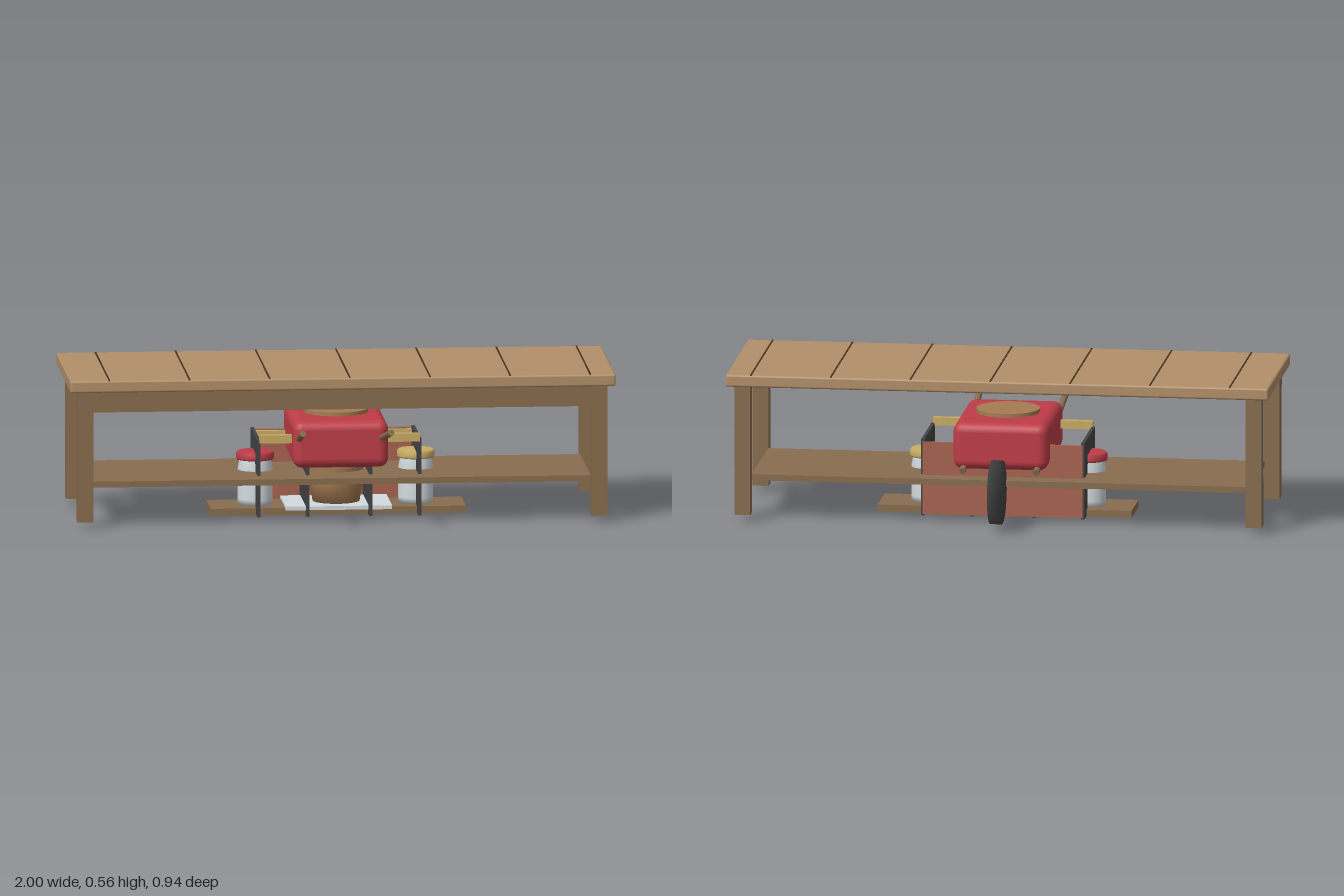
import * as THREE from 'three';
import { mergeVertices } from 'three/addons/utils/BufferGeometryUtils.js';
import { RoundedBoxGeometry } from 'three/addons/geometries/RoundedBoxGeometry.js';

function material(name, color) {
  const m = new THREE.MeshStandardMaterial({ color });
  m.name = name;
  return m;
}

export function createModel() {
  const root = new THREE.Group();
  root.name = 'pottingTable';
  const lightWood = material('light wood', 0xb18f69);
  const darkWood = material('dark wood', 0x886c4e);
  const seamBrown = material('seam brown', 0x45331f);
  const red = material('red', 0xbe3c48);
  const charcoal = material('charcoal', 0x444444);
  const terracotta = material('terracotta', 0xa8634f);
  const straw = material('straw', 0xc9ac64);
  const paleGrey = material('pale grey', 0xd3dbe0);
  const tan = material('tan', 0xa67c52);

  const CZ = -0.03; // shared centre line of the furniture

  function add(name, geometry, mat, x = 0, y = 0, z = 0) {
    const mesh = new THREE.Mesh(geometry, mat);
    mesh.name = name;
    mesh.position.set(x, y, z);
    root.add(mesh);
    return mesh;
  }
  // Box given by its minimum and maximum along each axis
  function box(name, mat, x0, x1, y0, y1, z0, z1, round = 0) {
    const size = [x1 - x0, y1 - y0, z1 - z0];
    const geometry = round
      ? new RoundedBoxGeometry(...size, 3, round)
      : new THREE.BoxGeometry(...size);
    return add(name, geometry, mat, (x0 + x1) / 2, (y0 + y1) / 2, (z0 + z1) / 2);
  }
  function rod(name, mat, from, to, radius) {
    const a = new THREE.Vector3(...from), b = new THREE.Vector3(...to);
    const dir = b.clone().sub(a);
    const mesh = add(name, new THREE.CylinderGeometry(radius, radius, dir.length(), 10), mat);
    mesh.position.copy(a).add(b).multiplyScalar(0.5);
    mesh.quaternion.setFromUnitVectors(new THREE.Vector3(0, 1, 0), dir.normalize());
    return mesh;
  }
  function lathe(name, mat, profile, x, z) {
    const points = profile.map(([r, y]) => new THREE.Vector2(r, y));
    return add(name, new THREE.LatheGeometry(points, 24), mat, x, 0, z);
  }

  // Table top with plank seams
  box('tableTop', lightWood, -1, 1, 0.509, 0.554, -0.355, 0.292, 0.008);
  for (let i = 0; i < 7; i++) {
    const x = -0.857 + i * 0.294;
    box('plankSeam', seamBrown, x - 0.003, x + 0.003, 0.55, 0.5555, -0.352, 0.289);
  }

  // Legs, front apron and lower shelf
  for (const x of [-0.942, 0.942]) {
    for (const z of [-0.295, 0.235]) {
      box('leg', darkWood, x - 0.029, x + 0.029, 0.026, 0.51, z - 0.029, z + 0.029);
    }
  }
  box('frontApron', darkWood, -0.97, 0.97, 0.437, 0.51, 0.264, 0.288);
  box('shelf', darkWood, -0.915, 0.915, 0.145, 0.167, -0.268, 0.207);

  // Compartment unit: dividers, back panel, front slats and base board
  for (const x of [-0.295, -0.115, 0.115, 0.295]) {
    box('divider', charcoal, x - 0.006, x + 0.006, 0.013, 0.297, -0.184, 0.125);
  }
  box('backPanel', terracotta, -0.295, 0.295, 0.02, 0.289, -0.195, -0.183);
  box('frontSlat', straw, -0.294, 0.294, 0.288, 0.318, 0.111, 0.134);
  box('innerSlat', straw, -0.289, 0.289, 0.265, 0.285, -0.183, -0.165);
  box('baseBoard', darkWood, -0.468, 0.468, 0.012, 0.038, -0.131, 0.071);
  box('tray', paleGrey, -0.195, 0.195, 0.034, 0.048, -0.15, 0.105);
  const runner = add('runner', new THREE.CylinderGeometry(0.02, 0.02, 0.28, 16), tan, 0, 0.02, CZ);
  runner.rotation.z = Math.PI / 2;

  // Round pot through the middle with its flat rim on top
  lathe('pot', tan, [[0, 0.038], [0.085, 0.038], [0.098, 0.12], [0.105, 0.24]], 0, CZ);
  add('potRim', new THREE.CylinderGeometry(0.117, 0.117, 0.03, 24), tan, 0, 0.376, CZ);

  // Jars with coloured lids
  for (const [x, lid] of [[-0.297, red], [0.292, straw]]) {
    lathe('jar', paleGrey,
      [[0, 0.04], [0.064, 0.04], [0.064, 0.06], [0.064, 0.17], [0.058, 0.2], [0.058, 0.215]], x, CZ);
    lathe('jarLid', lid,
      [[0.056, 0.206], [0.068, 0.206], [0.069, 0.212], [0.069, 0.229], [0.063, 0.235], [0, 0.235]], x, CZ);
  }

  // Barrow: rounded tub, splayed handles and wheel
  box('barrowTub', red, -0.175, 0.175, 0.203, 0.377, -0.266, 0.205, 0.035);
  for (const side of [-1, 1]) {
    rod('barrowHandle', darkWood, [side * 0.135, 0.203, -0.285], [side * 0.162, 0.378, 0.47], 0.012);
  }
  const wheel = new THREE.CylinderGeometry(0.117, 0.117, 0.044, 18);
  wheel.deleteAttribute('normal');
  wheel.deleteAttribute('uv');
  const softWheel = mergeVertices(wheel, 1e-4);
  softWheel.computeVertexNormals();
  add('wheel', softWheel, charcoal, 0, 0.142, -0.355).rotation.z = Math.PI / 2;

  return root;
}
